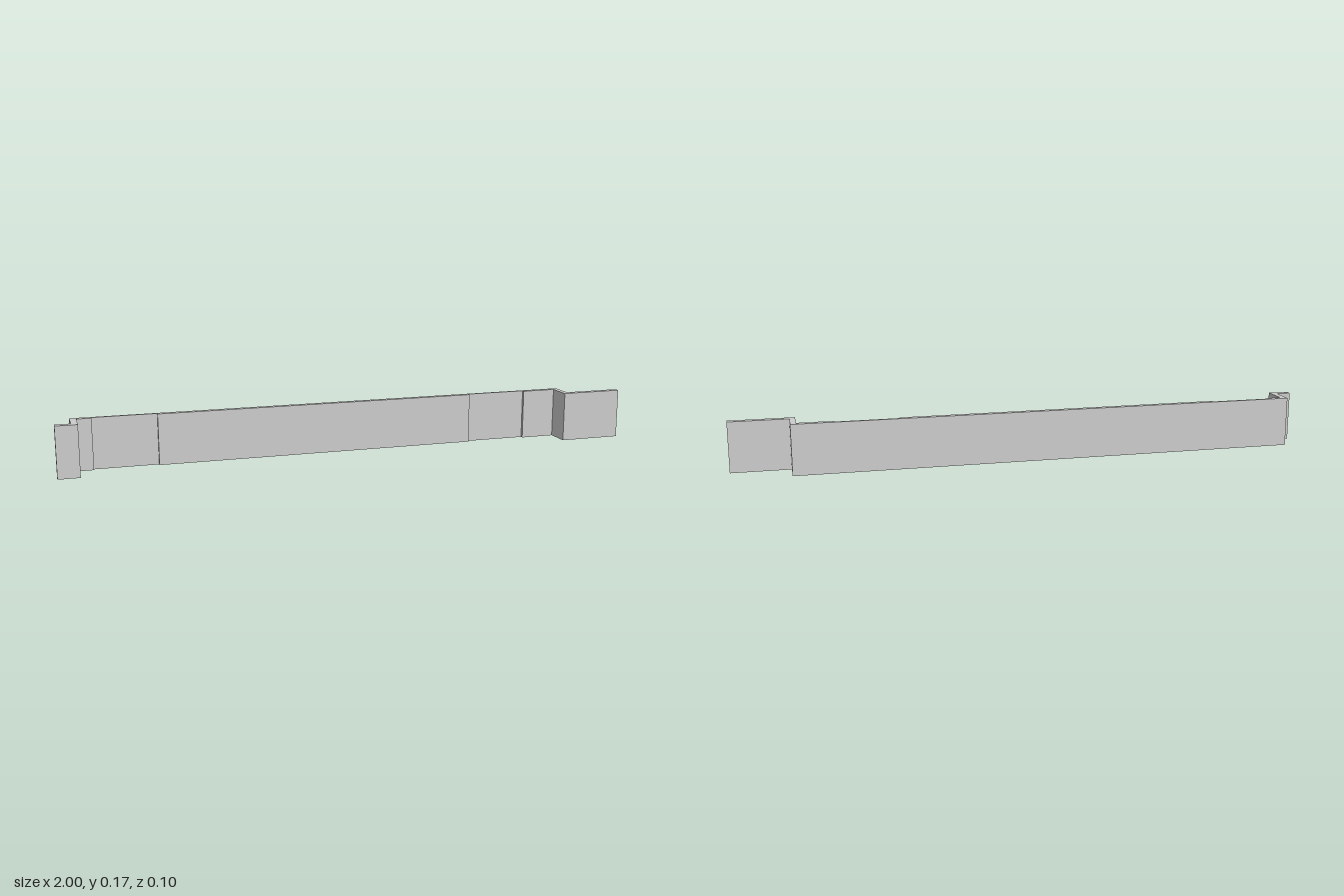
import * as THREE from 'three';

const HEIGHT = 0.173, BACK = -0.0525, FRONT = 0.0525;
const LEG_OUT = -0.949, LEG_IN = -0.928;

export function createModel() {
  const group = new THREE.Group();
  const material = new THREE.MeshStandardMaterial({ color: 0xcccccc, flatShading: true });
  const add = (name, geometry) => {
    const mesh = new THREE.Mesh(geometry, material);
    mesh.name = name;
    group.add(mesh);
  };

  // Extrudes an [x, z] outline upward through the bar height
  const upright = (points) => {
    const shape = new THREE.Shape(points.map(([x, z]) => new THREE.Vector2(x, -z)));
    return new THREE.ExtrudeGeometry(shape, { depth: HEIGHT, bevelEnabled: false }).rotateX(-Math.PI / 2);
  };

  // Long bar with two shallow front recesses, stepping forward into the wide flange
  const face = -0.034, recess = -0.044;
  add('barAndWideFlange', upright([
    [LEG_IN, BACK], [0.8, BACK], [0.8, 0.032], [1, 0.032], [1, FRONT], [0.781, FRONT],
    [0.781, face], [0.66, face], [0.66, recess], [0.445, recess], [0.445, face],
    [-0.668, face], [-0.668, recess], [-0.88, recess], [-0.88, face], [LEG_IN, face],
  ]));

  // Short leg with a screw hole through it
  const leg = new THREE.Shape([
    new THREE.Vector2(BACK, 0), new THREE.Vector2(FRONT, 0),
    new THREE.Vector2(FRONT, HEIGHT), new THREE.Vector2(BACK, HEIGHT),
  ]);
  leg.holes.push(new THREE.Path().absarc(0, 0.106, 0.011, 0, Math.PI * 2, true));
  add('drilledLeg', new THREE.ExtrudeGeometry(leg, {
    depth: LEG_IN - LEG_OUT, bevelEnabled: false, curveSegments: 16,
  }).rotateY(-Math.PI / 2).translate(LEG_IN, 0, 0));

  // Narrow flange at the drilled end
  add('narrowFlange', upright([[-1, 0.03], [LEG_OUT, 0.03], [LEG_OUT, FRONT], [-1, FRONT]]));

  return group;
}
